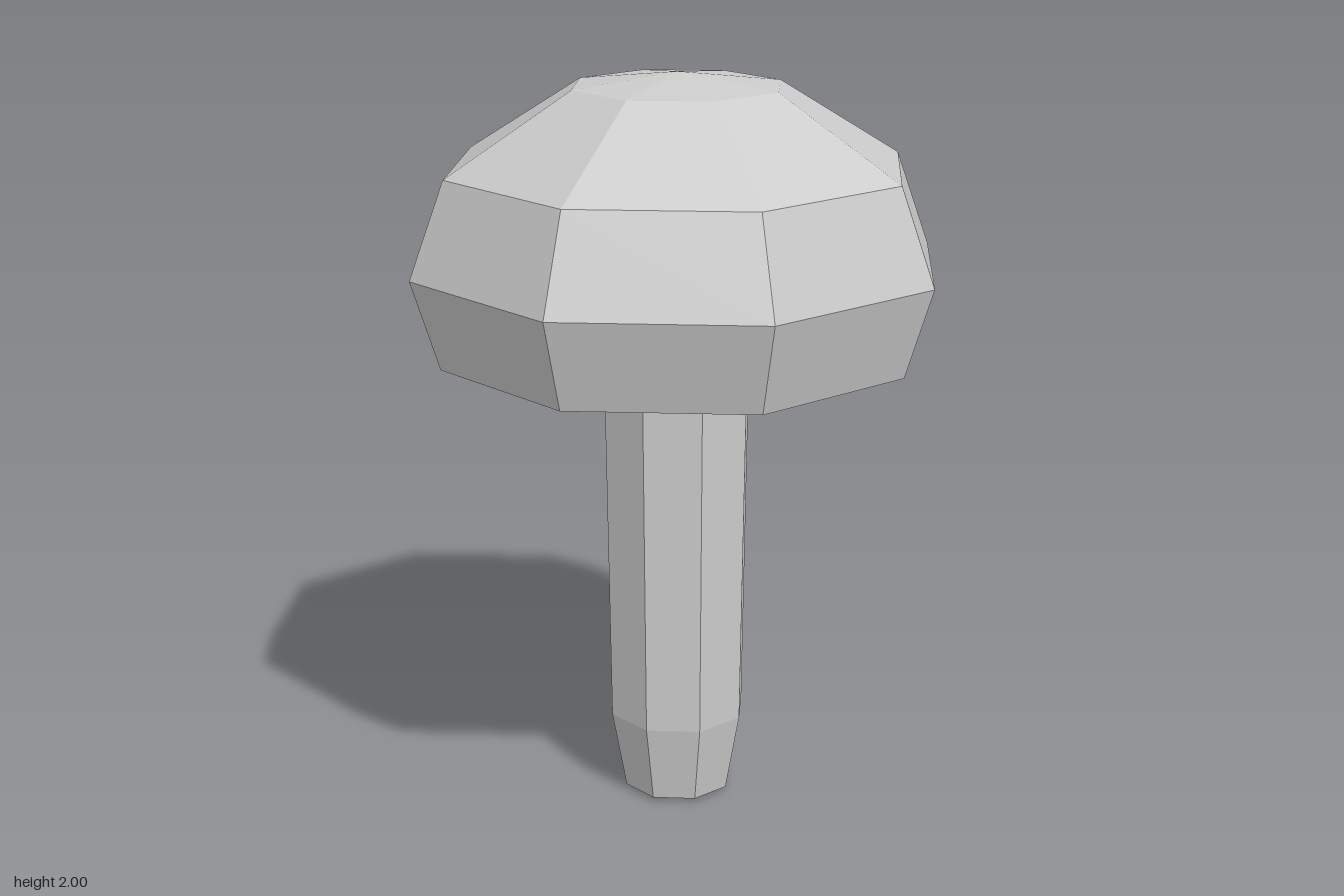
import * as THREE from 'three';

// Eight-sided solid turned from a [radius, height] profile, listed bottom to top
function turned(name, profile, material) {
  const points = profile.map(([r, y]) => new THREE.Vector2(r, y));
  const mesh = new THREE.Mesh(new THREE.LatheGeometry(points, 8), material);
  mesh.name = name;
  return mesh;
}

export function createModel() {
  const group = new THREE.Group();
  group.name = 'mushroom';
  const material = new THREE.MeshStandardMaterial({ color: 0xcccccc, flatShading: true });

  // Stem, tapering in at the foot
  group.add(turned('stem', [
    [0, 0], [0.15, 0.012], [0.19, 0.23], [0.205, 1.245],
  ], material));

  // Cap, with a shallow collar where its underside meets the stem
  group.add(turned('cap', [
    [0.205, 1.245], [0.31, 1.268], [0.645, 1.26], [0.72, 1.5],
    [0.625, 1.755], [0.285, 1.965], [0, 2],
  ], material));

  return group;
}
